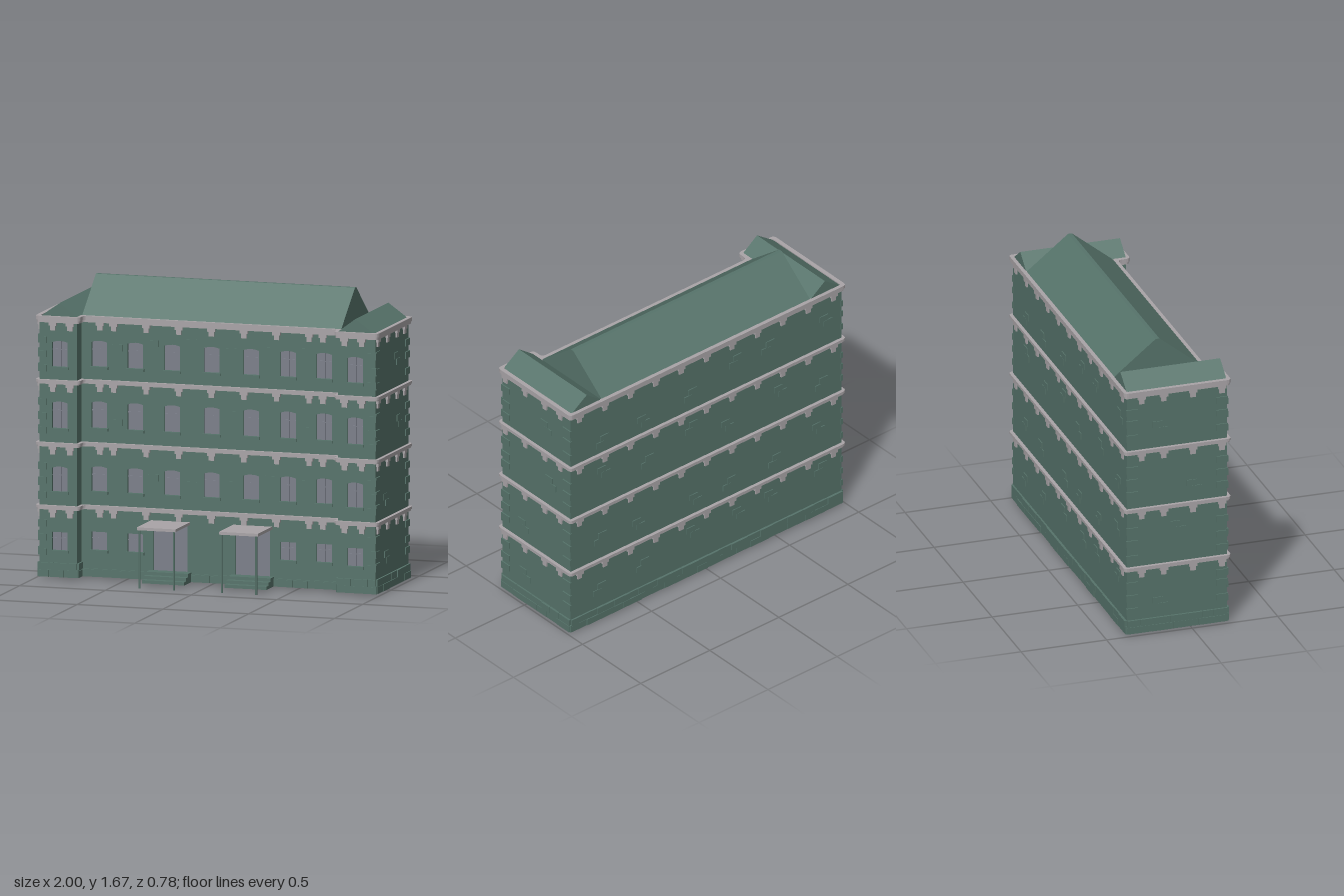
import * as THREE from 'three';

const mat = (name, color) => Object.assign(new THREE.MeshStandardMaterial({ color }), { name });

export function createModel() {
  const green = mat('green masonry', 0x56736a);
  const grey = mat('grey trim', 0xa9a4a7);
  const glassMat = mat('window glass', 0x7b7f8a);
  const model = new THREE.Group();
  model.name = 'building';

  let seed = 7;
  const rand = () => (seed = (seed * 16807) % 2147483647) / 2147483647;

  const group = (name) => {
    const g = new THREE.Group();
    g.name = name;
    model.add(g);
    return g;
  };
  const add = (parent, name, geo, material, x = 0, y = 0, z = 0) => {
    const m = new THREE.Mesh(geo, material);
    m.name = name;
    m.position.set(x, y, z);
    parent.add(m);
    return m;
  };
  // Box given by its limits
  const box = (parent, name, material, x0, x1, y0, y1, z0, z1) =>
    add(parent, name, new THREE.BoxGeometry(x1 - x0, y1 - y0, z1 - z0), material,
      (x0 + x1) / 2, (y0 + y1) / 2, (z0 + z1) / 2);
  const extrude = (shape, depth) =>
    new THREE.ExtrudeGeometry(shape, { depth, bevelEnabled: false, curveSegments: 4 });

  // Floor plan with projecting wings, moved inwards by d; shape y is -z
  const planPoints = (d) => {
    const X = 1 - d, s = 0.74 + d, back = 0.395 - d, wing = d - 0.23, mid = d - 0.155;
    return [[-X, wing], [-s, wing], [-s, mid], [s, mid], [s, wing], [X, wing], [X, back], [-X, back]]
      .map(([x, y]) => new THREE.Vector2(x, y));
  };
  const tracePlan = (path, d, r) => {
    const pts = planPoints(d), n = pts.length;
    pts.forEach((p, i) => {
      const a = pts[(i + n - 1) % n].clone().sub(p).setLength(r).add(p);
      const b = pts[(i + 1) % n].clone().sub(p).setLength(r).add(p);
      if (i) path.lineTo(a.x, a.y); else path.moveTo(a.x, a.y);
      path.quadraticCurveTo(p.x, p.y, b.x, b.y);
    });
    path.closePath();
    return path;
  };
  const ring = (parent, name, material, dOut, dIn, y0, y1, r) => {
    const shape = tracePlan(new THREE.Shape(), dOut, r);
    if (dIn) shape.holes.push(tracePlan(new THREE.Path(), dIn, 0.005));
    add(parent, name, extrude(shape, y1 - y0).rotateX(-Math.PI / 2), material, 0, y0, 0);
  };

  // Wall faces in order round the plan, used to place blocks on them
  const corners = planPoints(0.02).map((p) => new THREE.Vector2(p.x, -p.y));
  const faces = corners.map((a, i) => {
    const b = corners[(i + 1) % corners.length];
    const dir = b.clone().sub(a);
    const length = dir.length();
    return { a, length, dir: dir.normalize() };
  });
  const [leftWing, , centre, , rightWing, rightSide, back, leftSide] = faces;
  const block = (parent, name, material, face, s, y, w, h, out) => {
    const { a, dir } = face, depth = out + 0.005, off = depth / 2 - 0.005;
    const m = add(parent, name, new THREE.BoxGeometry(w, h, depth), material,
      a.x + dir.x * s - dir.y * off, y, a.y + dir.y * s + dir.x * off);
    m.rotation.y = Math.atan2(-dir.y, dir.x);
  };

  // Windows: ground floor is lower and leaves room for the doors
  const floors = [[0.16, 0.262], [0.49, 0.63], [0.845, 0.995], [1.19, 1.335]];
  const columns = [-0.655, -0.445, -0.23, 0, 0.23, 0.445, 0.655];
  const doors = [-0.24, 0.24];
  const openings = group('windows');
  const T = 0.02;
  const opening = (x, y0, y1, w, arch) => {
    const p = new THREE.Path();
    p.moveTo(x - w / 2, y0);
    p.lineTo(x + w / 2, y0);
    p.lineTo(x + w / 2, y1 - arch);
    p.quadraticCurveTo(x, y1 + arch, x - w / 2, y1 - arch);
    p.closePath();
    return p;
  };
  const frontWall = (name, x0, x1, z, xs) => {
    const shape = new THREE.Shape();
    shape.moveTo(x0, 0.01);
    shape.lineTo(x1, 0.01);
    shape.lineTo(x1, 1.46);
    shape.lineTo(x0, 1.46);
    shape.closePath();
    floors.forEach(([y0, y1], f) => xs.forEach((x) => {
      if (f === 0 && Math.abs(x) < 0.3) return;
      shape.holes.push(opening(x, y0, y1, 0.09, f ? 0.008 : 0));
      box(openings, 'windowPane', glassMat, x - 0.048, x + 0.048, y0 - 0.004, y1 + 0.004, z - 0.018, z - 0.012);
      box(openings, 'windowMullion', glassMat, x - 0.004, x + 0.004, y0, y1, z - 0.014, z - 0.008);
      const bar = y0 + (y1 - y0) * 0.66;
      box(openings, 'windowTransom', glassMat, x - 0.045, x + 0.045, bar - 0.003, bar + 0.003, z - 0.014, z - 0.008);
      box(openings, 'windowSill', green, x - 0.052, x + 0.052, y0 - 0.016, y0, z - 0.014, z + 0.01);
    }));
    if (xs.length > 1) doors.forEach((x) => {
      shape.holes.push(opening(x, 0.062, 0.33, 0.2, 0));
      box(openings, 'doorPanel', glassMat, x - 0.104, x + 0.104, 0.058, 0.334, z - 0.016, z - 0.008);
      box(openings, 'doorMullion', glassMat, x - 0.004, x + 0.004, 0.062, 0.33, z - 0.01, z - 0.004);
    });
    add(walls, name, extrude(shape, T), green, 0, 0, z - T);
  };

  // Walls
  const walls = group('walls');
  frontWall('centreFrontWall', -0.76, 0.76, 0.135, columns);
  for (const s of [-1, 1]) {
    frontWall('wingFrontWall', s * 0.87 - 0.11, s * 0.87 + 0.11, 0.21, [s * 0.86]);
    box(walls, 'wingReturnWall', green, s * 0.77 - 0.01, s * 0.77 + 0.01, 0.01, 1.46, 0.115, 0.19);
    box(walls, 'sideWall', green, s * 0.97 - 0.01, s * 0.97 + 0.01, 0.01, 1.46, -0.355, 0.19);
  }
  box(walls, 'backWall', green, -0.98, 0.98, 0.01, 1.46, -0.375, -0.355);
  ring(walls, 'roofDeck', green, 0.025, 0, 1.445, 1.46, 0.005);

  // Cornice bands with stepped brackets
  const cornices = group('cornices');
  const along = (n, length, margin) =>
    Array.from({ length: n }, (_, i) => margin + ((length - 2 * margin) * i) / (n - 1));
  const centreBrackets = [-0.65, -0.57, -0.38, -0.19, 0, 0.19, 0.38, 0.57, 0.65].map((x) => x + 0.76);
  const bracketRows = [
    [leftWing, [0.08, 0.18]], [rightWing, [0.04, 0.14]], [centre, centreBrackets],
    [rightSide, [0.03, 0.2, 0.37, 0.5]], [leftSide, [0.085, 0.215, 0.385, 0.555]], [back, along(11, 1.96, 0.06)],
  ];
  [[0.388, 0.412], [0.741, 0.765], [1.093, 1.117], [1.438, 1.474]].forEach(([y0, y1]) => {
    const step = y0 + (y1 - y0) * 0.4;
    ring(cornices, 'corniceLower', grey, 0.006, 0.035, y0, step, 0.02);
    ring(cornices, 'corniceUpper', grey, 0, 0.025, step, y1, 0.025);
    for (const [face, spots] of bracketRows) for (const s of spots) {
      block(cornices, 'bracketTop', grey, face, s, y0 - 0.008, 0.046, 0.018, 0.014);
      block(cornices, 'bracketFoot', grey, face, s, y0 - 0.03, 0.03, 0.028, 0.009);
    }
  });

  // Plinth of two uneven stone courses
  const plinth = group('plinth');
  ring(plinth, 'plinthBase', green, 0.012, 0.04, 0.01, 0.055, 0.004);
  for (const face of faces) for (const row of [0, 1]) {
    for (let s = 0; s < face.length - 0.01;) {
      let w = Math.min(0.06 + rand() * 0.08, face.length - s);
      if (face.length - s - w < 0.04) w = face.length - s;
      const mid = s + w / 2;
      const atDoor = face === centre && doors.some((x) => Math.abs(mid - 0.76 - x) < 0.1 + w / 2);
      if (!atDoor && !(face === centre && row))
        block(plinth, 'plinthStone', green, face, mid, 0.03 + row * 0.04, w - 0.002, 0.039, 0.009 + rand() * 0.005);
      s += w;
    }
  }

  // Corner stones and scattered raised bricks
  const bricks = group('raisedBricks');
  const pair = (face, s, y, side) => {
    block(bricks, 'raisedBrick', green, face, s, y, 0.06, 0.036, 0.005);
    block(bricks, 'raisedBrick', green, face, s + side * 0.03, y - 0.037, 0.06, 0.036, 0.005);
  };
  for (const base of [0.1, 0.42, 0.78, 1.13]) {
    for (let i = 0; i < 6; i++) {
      pair(back, 0.15 + i * 0.32 + rand() * 0.1, base + 0.08 + rand() * 0.16, rand() < 0.5 ? -1 : 1);
    }
    for (const face of [leftSide, rightSide]) {
      pair(face, 0.14 + rand() * 0.3, base + 0.08 + rand() * 0.14, 1);
      for (const end of [0.03, face.length - 0.03])
        for (let k = 0; k < 3; k++)
          block(bricks, 'cornerStone', green, face, end, base + 0.04 + k * 0.08 + rand() * 0.03, 0.068, 0.038, 0.007);
    }
    for (const face of [leftWing, rightWing])
      for (let k = 0; k < 3; k++)
        block(bricks, 'cornerStone', green, face, face === leftWing ? 0.02 : 0.2, base + 0.05 + k * 0.08, 0.05, 0.036, 0.007);
    for (const x of [-0.55, -0.34, -0.115, 0.115, 0.34, 0.55])
      if (base > 0.2 && rand() < 0.7)
        block(bricks, 'raisedBrick', green, centre, x + 0.76, base + 0.06 + rand() * 0.18, 0.06, 0.036, 0.005);
  }

  // Roofs: a long main ridge between two wing gables
  const roofs = group('roofs');
  const polygon = (pts) => new THREE.Shape(pts.map(([x, y]) => new THREE.Vector2(x, y)));
  const mainRoof = polygon([[-0.135, 1.455], [0.373, 1.455], [0.373, 1.473], [0.13, 1.668], [0.108, 1.668], [-0.135, 1.473]]);
  add(roofs, 'mainRoof', extrude(mainRoof, 1.51).rotateY(Math.PI / 2), green, -0.755, 0, 0);
  for (const s of [-1, 1]) {
    const pts = [[0.755, 1.455], [0.975, 1.455], [0.975, 1.468], [0.862, 1.548], [0.755, 1.468]].map(([x, y]) => [s * x, y]);
    add(roofs, 'wingRoof', extrude(polygon(pts), 0.583), green, 0, 0, -0.373);
  }

  // Entrances: canopy on two posts above three steps
  for (const x of doors) {
    const porch = group('entrance');
    box(porch, 'canopy', grey, x - 0.113, x + 0.113, 0.328, 0.344, 0.13, 0.39);
    for (const s of [-1, 1])
      add(porch, 'canopyPost', new THREE.CylinderGeometry(0.006, 0.006, 0.33, 8), green, x + s * 0.1, 0.165, 0.38);
    for (let i = 0; i < 3; i++)
      box(porch, 'step', green, x - 0.123, x + 0.123, 0.01 + i * 0.018, 0.028 + i * 0.018, 0.13, 0.267 - i * 0.035);
  }
  return model;
}
